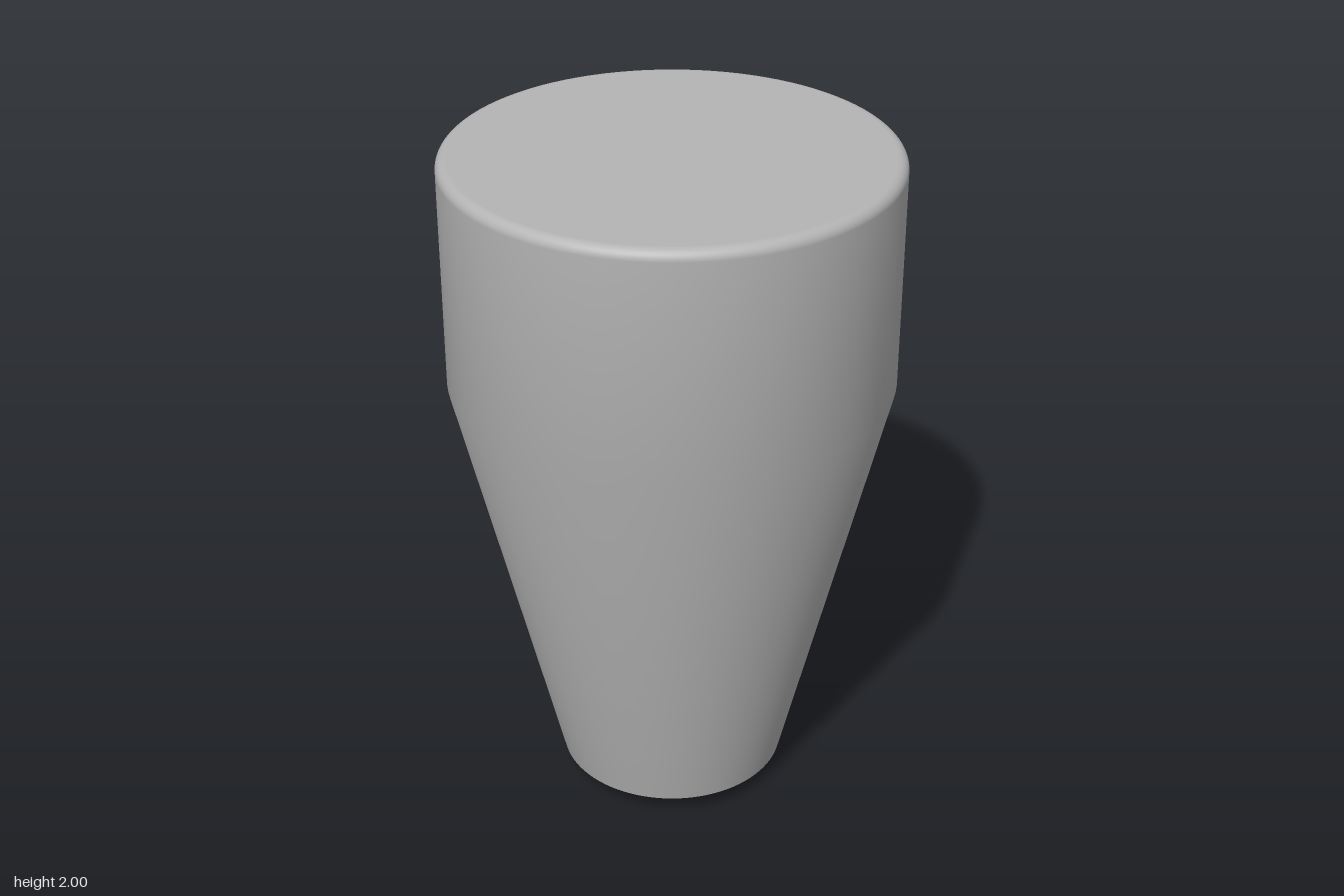
import * as THREE from 'three';

export function createModel() {
  const group = new THREE.Group();
  group.name = 'taperedKnob';

  const grey = new THREE.MeshStandardMaterial({ color: 0xb4b4b4 });
  grey.name = 'satinGrey';

  const segments = 96;
  const R = 0.632, fillet = 0.03;

  // Each ring of the profile is its own lathe, so the edges between them stay crisp
  const addLathe = (name, points) => {
    const profile = points.map(([r, y]) => new THREE.Vector2(r, y));
    const mesh = new THREE.Mesh(new THREE.LatheGeometry(profile, segments), grey);
    mesh.name = name;
    group.add(mesh);
  };

  // Quarter-round at the top rim
  const rim = [];
  for (let i = 0; i <= 8; i++) {
    const a = (i / 8) * Math.PI / 2;
    rim.push([R - fillet + fillet * Math.cos(a), 2 - fillet + fillet * Math.sin(a)]);
  }

  addLathe('bottomFace', [[0, 0], [0.215, 0]]);
  addLathe('bottomChamfer', [[0.215, 0], [0.333, 0.068]]);
  // Cone flowing smoothly into the straight wall and rounded rim
  addLathe('body', [[0.333, 0.068], [R, 1.335], ...rim]);
  addLathe('topFace', [[R - fillet, 2], [0, 2]]);

  return group;
}
